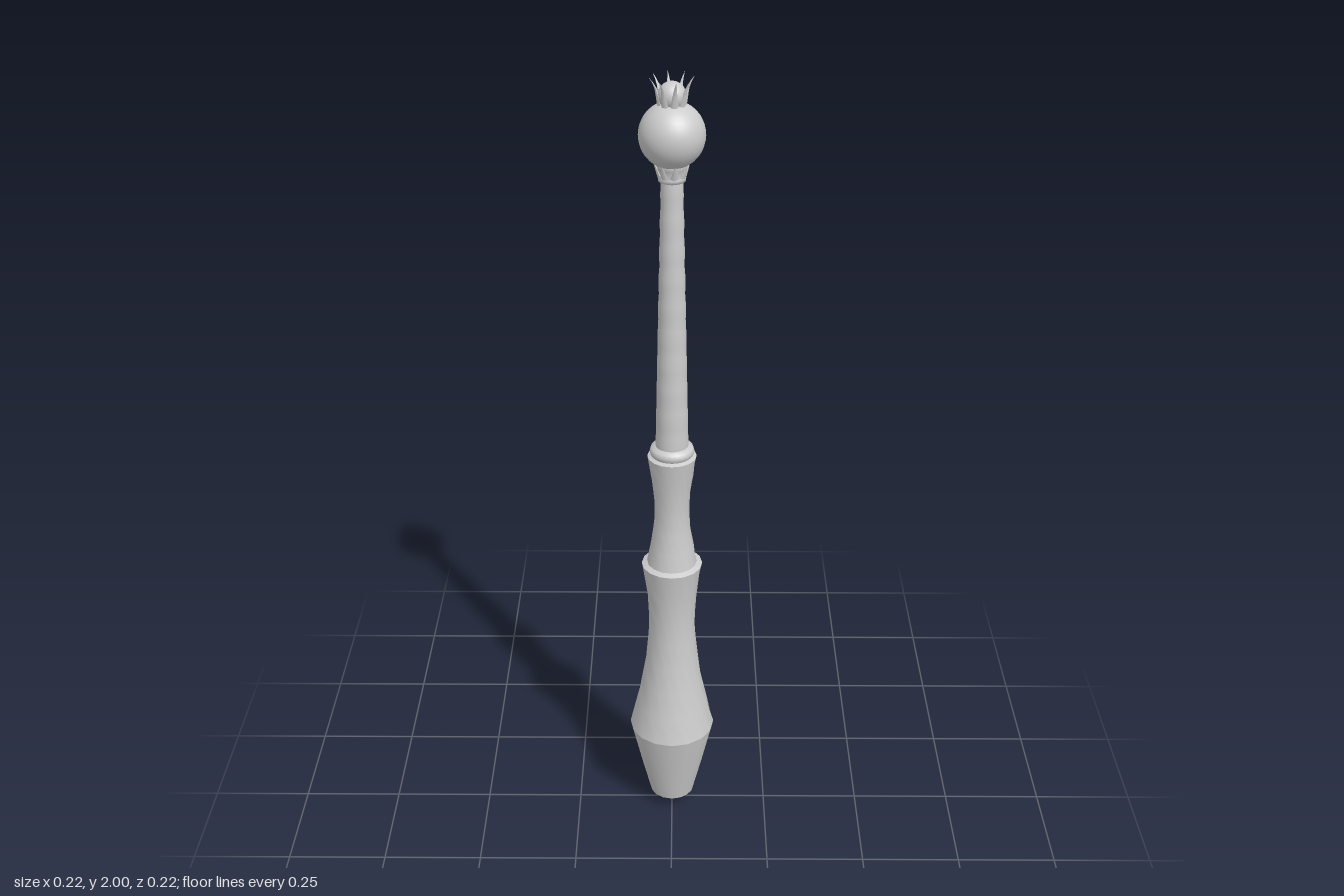
import * as THREE from 'three';

const grey = new THREE.MeshStandardMaterial({ color: 0xcccccc, side: THREE.DoubleSide });

export function createModel() {
  const group = new THREE.Group();

  const add = (name, geometry, y = 0) => {
    const mesh = new THREE.Mesh(geometry, grey);
    mesh.name = name;
    mesh.position.y = y;
    group.add(mesh);
    return mesh;
  };
  const lathe = (profile, sides) =>
    new THREE.LatheGeometry(profile.map(([r, y]) => new THREE.Vector2(r, y)), sides);

  // Turns each ring of a lathe about the axis, in step with its height
  const twist = (geometry, y0, y1, angle) => {
    const pos = geometry.attributes.position, nor = geometry.attributes.normal;
    const v = new THREE.Vector3(), up = new THREE.Vector3(0, 1, 0);
    for (let i = 0; i < pos.count; i++) {
      const a = angle * THREE.MathUtils.clamp((pos.getY(i) - y0) / (y1 - y0), 0, 1);
      v.fromBufferAttribute(pos, i).applyAxisAngle(up, a);
      pos.setXYZ(i, v.x, v.y, v.z);
      v.fromBufferAttribute(nor, i).applyAxisAngle(up, a);
      nor.setXYZ(i, v.x, v.y, v.z);
    }
    return geometry;
  };

  // Pommel and bulbous lower grip
  add('pommel', lathe([[0, 0], [0.018, 0.004], [0.03, 0.014], [0.035, 0.025]], 16));
  add('gripBase', lathe([[0.033, 0.024], [0.058, 0.038]], 16));
  add('lowerBulb', lathe([[0.058, 0.038], [0.085, 0.15], [0.11, 0.26]], 16));

  // Twisted handle with a flared lip
  add('twistedGrip', twist(lathe([
    [0.11, 0.26], [0.093, 0.33], [0.079, 0.4], [0.068, 0.47], [0.061, 0.54],
    [0.059, 0.6], [0.062, 0.66], [0.068, 0.71], [0.076, 0.76]], 16), 0.26, 0.76, -Math.PI / 2));
  add('gripLip', lathe([[0.076, 0.76], [0.06, 0.767]], 16));

  // Upper waist, twisted the same way
  add('twistedWaist', twist(lathe([
    [0.064, 0.76], [0.055, 0.81], [0.047, 0.86], [0.043, 0.91],
    [0.046, 0.97], [0.053, 1.02], [0.06, 1.068]], 16), 0.76, 1.068, -Math.PI / 2));
  add('waistLip', lathe([[0.06, 1.068], [0.048, 1.073]], 16));

  // Ring below the shaft
  add('shaftRing', lathe([[0.048, 1.07], [0.053, 1.076], [0.054, 1.084],
    [0.051, 1.093], [0.04, 1.098]], 24));

  // Tapered shaft with shallow carved unevenness
  const shaftProfile = [];
  for (let i = 0; i <= 32; i++) {
    const t = i / 32;
    shaftProfile.push([0.04 - 0.015 * t + 0.0008 * Math.sin(i * 1.9), 1.09 + 0.68 * t]);
  }
  add('shaft', lathe(shaftProfile, 20));

  // Collar holding the orb
  add('collar', lathe([[0.022, 1.762], [0.031, 1.766], [0.032, 1.774], [0.028, 1.78],
    [0.034, 1.796], [0.037, 1.808], [0.03, 1.815]], 20));

  // Ring of pointed leaves that lean outward and bend upright
  const leafRing = (name, count, phase, path, width) => {
    const ring = new THREE.Group();
    ring.name = name;
    const curve = new THREE.CatmullRomCurve3(path.map(([r, y]) => new THREE.Vector3(0, y, r)));
    const steps = 5;
    for (let k = 0; k < count; k++) {
      const geometry = new THREE.TubeGeometry(curve, steps, width, 6, false);
      const pos = geometry.attributes.position;
      for (let i = 0; i < pos.count; i++) {
        const t = Math.floor(i / 7) / steps;
        const c = curve.getPointAt(t);
        const p = new THREE.Vector3().fromBufferAttribute(pos, i).sub(c);
        p.multiplyScalar(1 - t);
        p.z *= 0.6;
        pos.setXYZ(i, c.x + p.x, c.y + p.y, c.z + p.z);
      }
      geometry.computeVertexNormals();
      const leaf = new THREE.Mesh(geometry, grey);
      leaf.name = 'leaf';
      leaf.rotation.y = phase + (k / count) * Math.PI * 2;
      ring.add(leaf);
    }
    group.add(ring);
  };
  leafRing('collarLeaves', 8, 0.2, [[0.028, 1.778], [0.036, 1.797], [0.044, 1.818]], 0.009);

  // Orb, its small finial and the crown
  add('orb', new THREE.SphereGeometry(0.075, 32, 20), 1.87);
  add('finial', new THREE.SphereGeometry(0.032, 20, 14), 1.957);
  leafRing('crown', 8, 0.2, [[0.026, 1.932], [0.032, 1.958], [0.038, 1.98], [0.051, 2.0]], 0.01);

  return group;
}
